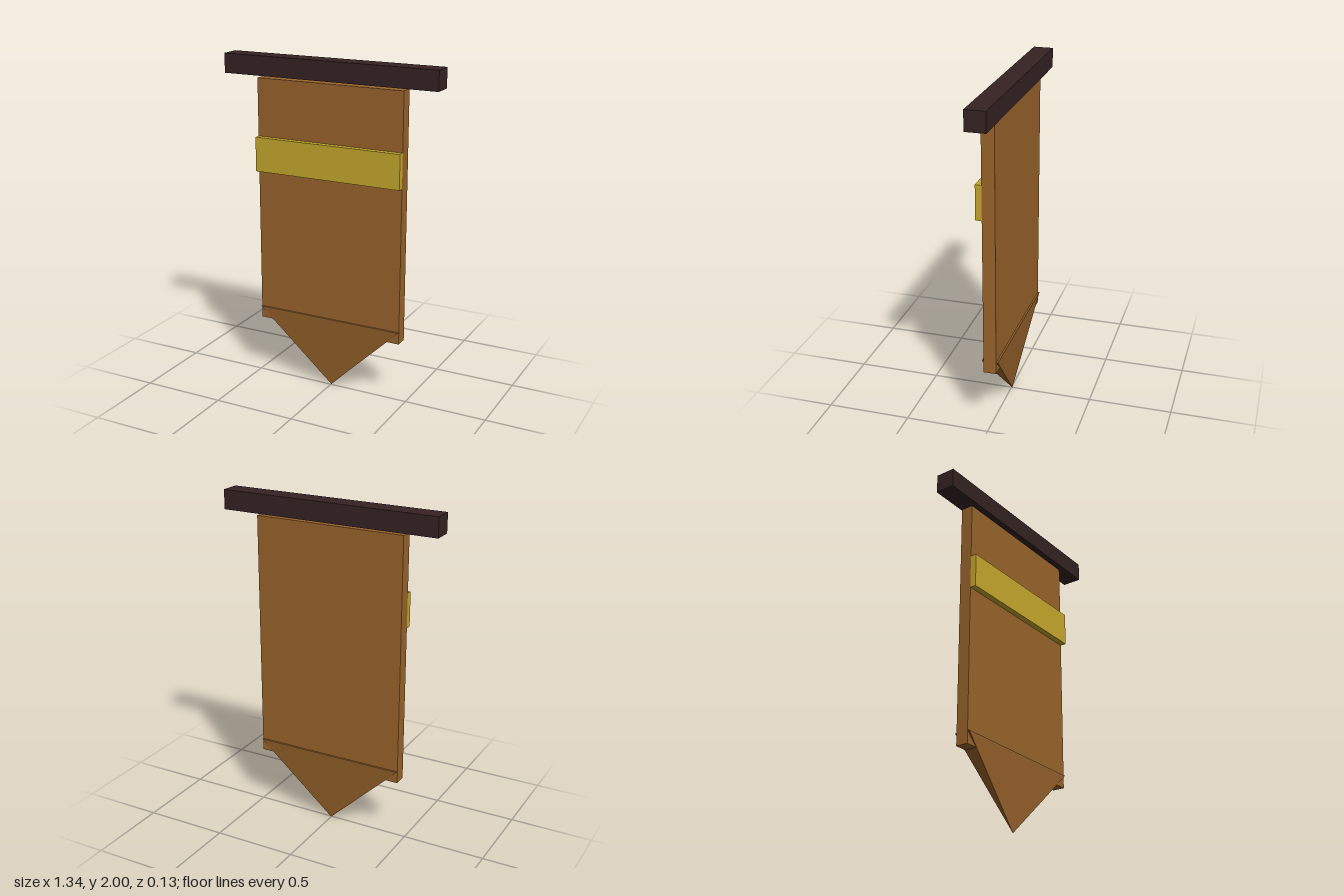
import * as THREE from 'three';

export function createModel() {
  const model = new THREE.Group();
  model.name = 'hangingBanner';

  const material = (name, color) => {
    const m = new THREE.MeshStandardMaterial({ color });
    m.name = name;
    return m;
  };
  const darkWood = material('darkWood', 0x362323);
  const brownCloth = material('brownCloth', 0x9c662c);
  const gold = material('gold', 0xc9ab2c);

  const z0 = -0.006; // shared depth centre of rod, cloth and tip

  const add = (name, geometry, mat, y, z) => {
    const mesh = new THREE.Mesh(geometry, mat);
    mesh.name = name;
    mesh.position.set(0, y, z);
    model.add(mesh);
  };

  // Crossbar above the cloth
  add('crossbar', new THREE.BoxGeometry(1.34, 0.116, 0.118), darkWood, 1.942, z0);

  // Cloth panel
  add('cloth', new THREE.BoxGeometry(0.924, 1.493, 0.075), brownCloth, 1.122, z0);

  // Raised stripe on the front only
  add('stripe', new THREE.BoxGeometry(0.924, 0.206, 0.037), gold, 1.421, 0.0495);

  // Pointed tip: a flattened four-sided pyramid hanging point down
  const tip = new THREE.ConeGeometry(Math.SQRT2, 0.45, 4).toNonIndexed();
  tip.rotateY(Math.PI / 4);
  tip.rotateX(Math.PI);
  tip.scale(0.462, 1, 0.048);
  tip.computeVertexNormals();
  add('pointedTip', tip, brownCloth, 0.225, z0);

  return model;
}
